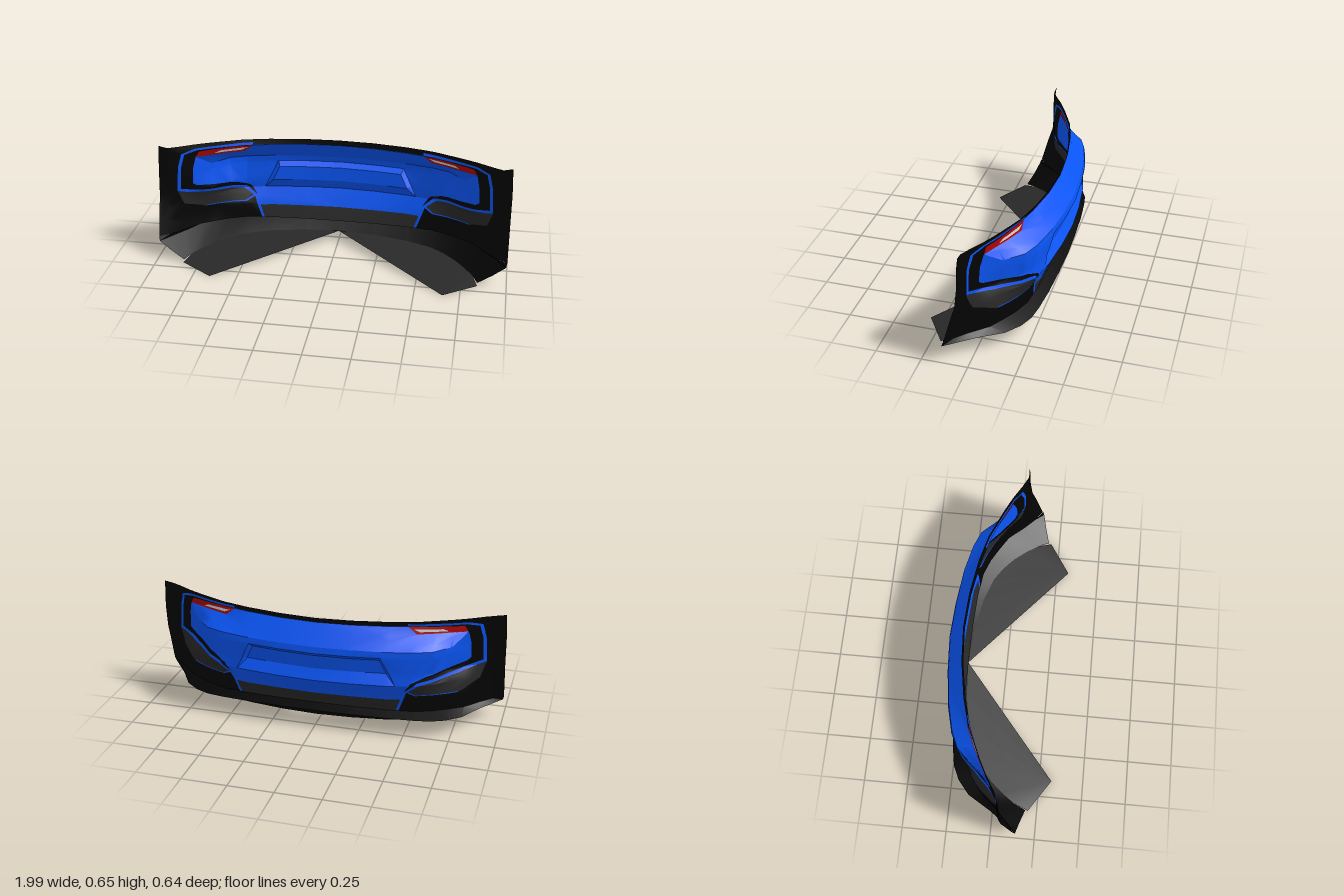
import * as THREE from 'three';
import { toCreasedNormals } from 'three/addons/utils/BufferGeometryUtils.js';

// Depth of the curved shell, sampled on a coarse grid (half width, mirrored)
const XS = [0, 0.2, 0.4, 0.55, 0.64, 0.72, 0.8, 0.88, 0.94, 1];
const ROWS = [
  [0.125, [-0.222, -0.22, -0.21, -0.19, -0.155, -0.11, -0.06, 0.03, 0.09, 0.132]],
  [0.21, [-0.26, -0.25, -0.235, -0.195, -0.165, -0.13, -0.075, 0.02, 0.07, 0.108]],
  [0.3, [-0.308, -0.298, -0.275, -0.24, -0.19, -0.12, -0.06, 0.017, 0.05, 0.082]],
  [0.36, [-0.31, -0.297, -0.27, -0.23, -0.175, -0.09, -0.025, 0.022, 0.043, 0.062]],
  [0.46, [-0.32, -0.308, -0.283, -0.248, -0.205, -0.12, -0.025, 0.024, 0.043, 0.05]],
  [0.5, [-0.312, -0.3, -0.277, -0.242, -0.205, -0.12, -0.028, 0.025, 0.043, 0.046]],
  [0.57, [-0.259, -0.247, -0.215, -0.153, -0.115, -0.075, -0.035, 0.02, 0.043, 0.045]],
  [0.61, [-0.228, -0.215, -0.18, -0.14, -0.105, -0.07, -0.03, 0.017, 0.042, 0.044]],
  [0.65, [-0.24, -0.227, -0.195, -0.155, -0.115, -0.08, -0.04, 0.008, 0.04, 0.038]],
];
const YS = ROWS.map((r) => r[0]);
const clamp = THREE.MathUtils.clamp;
const lerp = THREE.MathUtils.lerp;

function locate(list, v) {
  let i = 0;
  while (i < list.length - 2 && v > list[i + 1]) i++;
  return [i, clamp((v - list[i]) / (list[i + 1] - list[i]), 0, 1)];
}

function shellDepth(x, y) {
  const [i, u] = locate(XS, x);
  const [j, v] = locate(YS, y);
  const at = (r) => lerp(ROWS[r][1][i], ROWS[r][1][i + 1], u);
  return lerp(at(j), at(j + 1), v);
}

// Sunken plate recess, fading out at its lower edge
function recessDepth(x, y) {
  const side = 0.37 + (0.465 - y) * (0.08 / 0.165) - x;
  const t = clamp(Math.min(0.465 - y, side) / 0.025, 0, 1);
  return 0.03 * t * clamp((y - 0.3) / 0.06, 0, 1);
}

// Cut convex polygons along one axis at every break value
function slice(polys, axis, breaks) {
  for (const b of breaks) {
    polys = polys.flatMap((poly) => [1, -1].map((s) => {
      const out = [];
      poly.forEach((p, i) => {
        const q = poly[(i + 1) % poly.length];
        const dp = s * (p[axis] - b), dq = s * (q[axis] - b);
        if (dp >= 0) out.push(p);
        if (dp * dq < 0) out.push([0, 1].map((k) => lerp(p[k], q[k], dp / (dp - dq))));
      });
      return out;
    }).filter((p) => p.length > 2 && p.some((c) => Math.abs(c[axis] - b) > 1e-7)));
  }
  return polys;
}

// Mesh from 3D triangles given for the +x half, plus their mirror image
function mirroredMesh(name, tris, material) {
  const pos = [];
  for (const [a, b, c] of tris) {
    pos.push(...a, ...b, ...c);
    for (const p of [a, c, b]) pos.push(-p[0], p[1], p[2]);
  }
  const g = new THREE.BufferGeometry();
  g.setAttribute('position', new THREE.Float32BufferAttribute(pos, 3));
  const mesh = new THREE.Mesh(toCreasedNormals(g, 0.4), material);
  mesh.name = name;
  return mesh;
}

// Front outline wrapped onto the shell
function panel(name, outline, material, holes = []) {
  const vec = (l) => l.map(([x, y]) => new THREE.Vector2(x, y));
  const pts = vec(outline), hs = holes.map(vec);
  if (THREE.ShapeUtils.isClockWise(pts)) pts.reverse();
  hs.forEach((h) => { if (!THREE.ShapeUtils.isClockWise(h)) h.reverse(); });
  const all = [pts, ...hs].flat();
  let polys = THREE.ShapeUtils.triangulateShape(pts, hs).map((f) => f.map((i) => [all[i].x, all[i].y]));
  polys = slice(slice(polys, 0, XS.slice(1, -1)), 1, YS.slice(1, -1));
  const tris = [];
  for (const poly of polys) {
    const p = poly.map(([x, y]) => [x, y, shellDepth(x, y) + recessDepth(x, y)]);
    for (let i = 1; i < p.length - 1; i++) tris.push([p[0], p[i], p[i + 1]]);
  }
  return mirroredMesh(name, tris, material);
}

function loft(name, a, b, material) {
  const tris = [];
  for (let i = 0; i < a.length - 1; i++) {
    tris.push([a[i], b[i], b[i + 1]], [a[i], b[i + 1], a[i + 1]]);
  }
  return mirroredMesh(name, tris, material);
}

export function createModel() {
  const group = new THREE.Group();
  const mat = (color) => new THREE.MeshStandardMaterial({ color, side: THREE.DoubleSide });
  const blue = mat(0x0a55f5), black = mat(0x040404), grey = mat(0x282828);
  const red = mat(0xa80404), pale = mat(0xcccccc);

  // Shared outlines
  const stripeOuter = [[0.49, 0.627], [0.8, 0.62], [0.87, 0.6], [0.89, 0.52], [0.9, 0.375]];
  const pocketTop = [[0.76, 0.335], [0.57, 0.3], [0.505, 0.25]];
  const pocketBase = [[0.505, 0.25], [0.55, 0.225], [0.77, 0.23]];
  const pocketRim = [[0.76, 0.235], [0.556, 0.231], [0.513, 0.257]];
  const stripeInner = [[0.49, 0.255], [0.56, 0.315], [0.75, 0.35], [0.882, 0.387], [0.873, 0.52],
    [0.855, 0.592], [0.79, 0.609], [0.49, 0.612]];
  const fieldEdge = [[0.8, 0.568], [0.815, 0.5], [0.82, 0.41], [0.8, 0.393], [0.6, 0.345], [0.53, 0.315], [0.49, 0.255]];
  const lamp = [[0.49, 0.612], [0.78, 0.6], [0.8, 0.568], [0.54, 0.57]];
  const lens = [[0.52, 0.597], [0.67, 0.591], [0.7, 0.578], [0.555, 0.581]];
  const recessOuter = [[0, 0.3], [0.45, 0.3], [0.37, 0.465], [0, 0.465]];
  const recessInner = [[0, 0.44], [0.357, 0.44], [0.425, 0.3]];

  // Black surround and inner band
  group.add(panel('outerShell', [[0, 0.638], [0.5, 0.642], [0.94, 0.645], [0.99, 0.655], [0.997, 0.5], [0.997, 0.125],
    [0.46, 0.125], ...pocketBase, [0.87, 0.285], ...[...stripeOuter].reverse(), [0.49, 0.612], [0, 0.61]], black));
  group.add(panel('innerBand', [...stripeInner, lamp[1], ...fieldEdge.slice(0, -1)], black));

  // Blue body, frame stripe and plate recess
  group.add(panel('bodyPanel', [[0, 0.61], lamp[0], lamp[3], ...fieldEdge, [0.471, 0.2], [0, 0.2], ...recessOuter], blue));
  group.add(panel('frameStripe', [...stripeOuter, ...pocketTop, [0.46, 0.125], [0.445, 0.125], [0.471, 0.2], ...stripeInner], blue));
  group.add(panel('recessWall', [...recessOuter.slice(1), ...recessInner], blue));
  group.add(panel('recessFloor', [...recessInner, [0, 0.3]], blue));
  group.add(panel('pocketRim', [...pocketBase, ...pocketRim], blue));

  // Grey pockets and lower strip
  group.add(panel('sidePocket', [[0.9, 0.375], ...pocketTop, ...[...pocketRim].reverse(), [0.77, 0.23], [0.87, 0.285]], grey));
  group.add(panel('lowerStrip', [[0, 0.2], [0.471, 0.2], [0.445, 0.125], [0, 0.125]], grey));

  // Lamps
  group.add(panel('lampSurround', lamp, red, [lens]));
  group.add(panel('lampLens', lens, pale));

  // Lower lip: shell edge, protruding ridge, underside edge
  const top = XS.map((x) => [Math.min(x, 0.997), 0.125, shellDepth(x, 0.125)]);
  const ridgeZ = [-0.285, -0.28, -0.27, -0.255, -0.24, -0.205, -0.14, -0.01, 0.07, 0.14];
  const ridge = XS.map((x, i) => [Math.min(x, 0.992), 0.105 - 0.005 * x, ridgeZ[i]]);
  const under = [[0, 0.055, -0.228], [0.2, 0.054, -0.215], [0.4, 0.05, -0.18], [0.55, 0.046, -0.13], [0.63, 0.041, -0.08],
    [0.7, 0.035, -0.02], [0.76, 0.029, 0.05], [0.81, 0.022, 0.12], [0.84, 0.016, 0.185], [0.92, 0.055, 0.16]];
  group.add(loft('lipTop', top, ridge, black));
  group.add(loft('lipUnderside', ridge, under, black));

  // Flat floor wings reaching forward from the lip
  const edge = [...under.slice(0, 8), [0.84, 0.005, 0.2]];
  const tip = [0.655, 0, 0.32];
  group.add(mirroredMesh('floorWing', edge.slice(0, -1).map((p, i) => [tip, edge[i + 1], p]), grey));

  return group;
}
